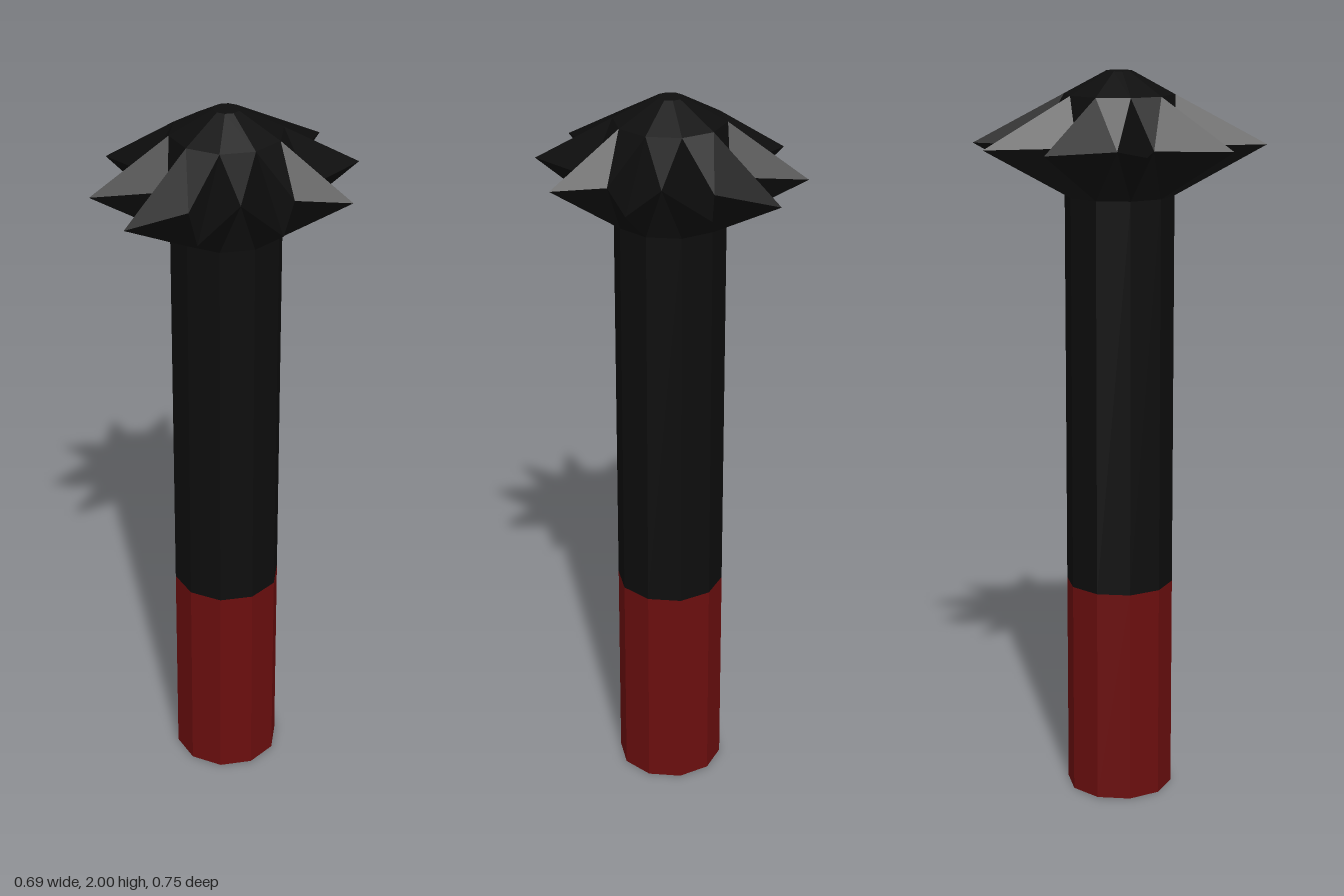
import * as THREE from 'three';

const SIDES = 10;
const RADIUS = 0.147;

// Ring of ten points; angle runs from +x towards +z
function ring(radius, y) {
  return Array.from({ length: SIDES }, (_, i) => {
    const a = (i / SIDES) * Math.PI * 2;
    return [radius * Math.cos(a), y, radius * Math.sin(a)];
  });
}

// Completes five [x, z] points by half-turn symmetry
function halfTurn(points, y) {
  return [
    ...points.map(([x, z]) => [x, y, z]),
    ...points.map(([x, z]) => [-x, y, -z]),
  ];
}

function flat(geometry) {
  const g = geometry.index ? geometry.toNonIndexed() : geometry;
  g.computeVertexNormals();
  return g;
}

// Spiked head: domed crown, ridged points, tapering underside
function headGeometry() {
  const crown = ring(0.035, 2.0);
  const upper = ring(RADIUS, 1.94);
  const lower = ring(RADIUS, 1.675);
  const tips = halfTurn([[0.345, 0], [0.263, 0.245], [0.098, 0.377], [-0.098, 0.377], [-0.263, 0.245]], 1.81);
  const valleys = halfTurn([[0.208, 0.048], [0.1, 0.133], [0, 0.222], [-0.1, 0.133], [-0.208, 0.048]], 1.81);
  const positions = [];
  const tri = (a, b, c) => positions.push(...a, ...b, ...c);

  for (let i = 0; i < SIDES; i++) {
    const j = (i + 1) % SIDES;
    // crown
    tri([0, 2, 0], crown[j], crown[i]);
    tri(crown[i], crown[j], upper[i]);
    tri(crown[j], upper[j], upper[i]);
    // upper faces of the points
    tri(upper[i], valleys[i], tips[i]);
    tri(upper[i], upper[j], valleys[i]);
    tri(upper[j], tips[j], valleys[i]);
    // lower faces of the points
    tri(lower[i], tips[i], valleys[i]);
    tri(lower[i], valleys[i], lower[j]);
    tri(lower[j], valleys[i], tips[j]);
  }
  const g = new THREE.BufferGeometry();
  g.setAttribute('position', new THREE.Float32BufferAttribute(positions, 3));
  return flat(g);
}

export function createModel() {
  const black = new THREE.MeshStandardMaterial({ color: 0x0d0d0d });
  black.name = 'black';
  const red = new THREE.MeshStandardMaterial({ color: 0x6a0e0e });
  red.name = 'dark red';

  const group = new THREE.Group();
  const add = (name, geometry, material, y = 0) => {
    const mesh = new THREE.Mesh(geometry, material);
    mesh.name = name;
    mesh.position.y = y;
    group.add(mesh);
    return mesh;
  };
  // Open ten-sided tube with a corner on the x axis
  const tube = (height) =>
    flat(new THREE.CylinderGeometry(RADIUS, RADIUS, height, SIDES, 1, true, Math.PI / 2));

  add('grip', tube(0.6), red, 0.3);
  add('shaft', tube(1.075), black, 1.1375);
  add('spikedHead', headGeometry(), black);

  // Underside cap
  const cap = add('gripEnd', new THREE.CircleGeometry(RADIUS, SIDES), black);
  cap.rotation.x = Math.PI / 2;

  return group;
}
